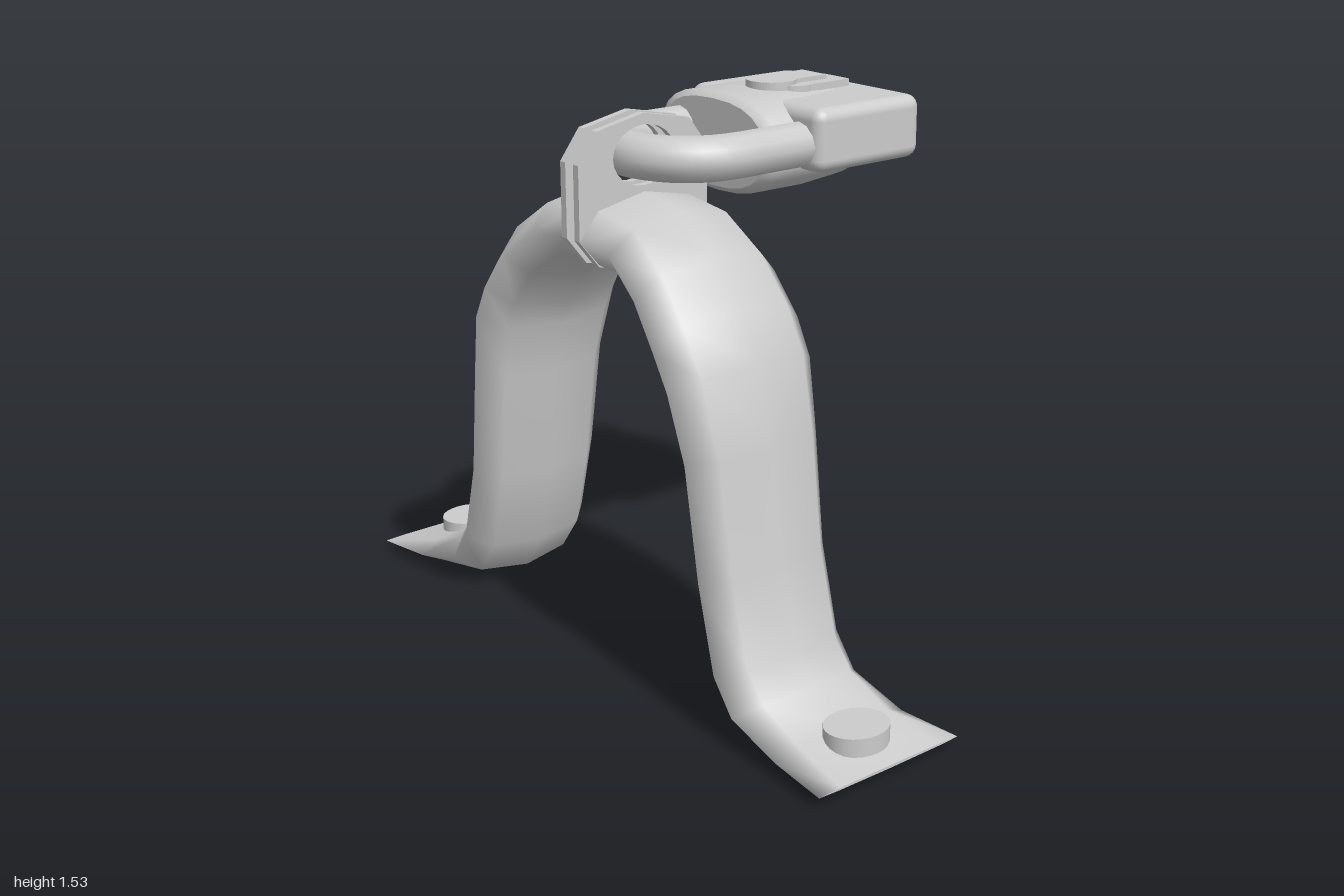
import * as THREE from 'three';
import { RoundedBoxGeometry } from 'three/addons/geometries/RoundedBoxGeometry.js';

const material = new THREE.MeshStandardMaterial({ color: 0xcccccc });
const { cos, sin, PI, abs, sign, pow } = Math;

function add(parent, name, geometry, x = 0, y = 0, z = 0) {
  const mesh = new THREE.Mesh(geometry, material);
  mesh.name = name;
  mesh.position.set(x, y, z);
  parent.add(mesh);
  return mesh;
}

// Smooth skin over equal-length rings, with flat end caps
function loft(rings) {
  const n = rings[0].length, pos = [], idx = [];
  for (const ring of rings) for (const p of ring) pos.push(...p);
  for (let i = 0; i < rings.length - 1; i++) {
    for (let j = 0; j < n; j++) {
      const k = (j + 1) % n;
      const a = i * n + j, d = i * n + k, b = a + n, c = d + n;
      idx.push(a, d, b, d, c, b);
    }
  }
  for (const start of [true, false]) {
    const base = pos.length / 3;
    for (const p of start ? rings[0] : rings[rings.length - 1]) pos.push(...p);
    for (let j = 1; j < n - 1; j++) {
      if (start) idx.push(base, base + j + 1, base + j);
      else idx.push(base, base + j, base + j + 1);
    }
  }
  const g = new THREE.BufferGeometry();
  g.setAttribute('position', new THREE.Float32BufferAttribute(pos, 3));
  g.setIndex(idx);
  g.computeVertexNormals();
  return g;
}

// Curved leg with an oval section: outer x, y, inner x, y, half width
function strapGeometry() {
  const stations = [
    [0.03, 1.305, 0.03, 1.10, 0.21],
    [0.20, 1.28, 0.13, 1.10, 0.213],
    [0.33, 1.19, 0.25, 1.02, 0.23],
    [0.43, 1.07, 0.32, 0.92, 0.238],
    [0.50, 0.95, 0.355, 0.85, 0.235],
    [0.556, 0.74, 0.39, 0.70, 0.218],
    [0.60, 0.44, 0.43, 0.39, 0.21],
    [0.66, 0.215, 0.49, 0.15, 0.21],
    [0.72, 0.145, 0.57, 0.04, 0.21],
    [0.84, 0.085, 0.80, 0.004, 0.215],
    [1.00, 0.042, 1.00, 0.034, 0.235],
  ];
  return loft(stations.map(([ox, oy, ix, iy, w]) => {
    const ring = [];
    for (let j = 0; j < 8; j++) {
      const c = cos(j * PI / 4) / 2;
      ring.push([(ox + ix) / 2 + (ox - ix) * c, (oy + iy) / 2 + (oy - iy) * c, w * sin(j * PI / 4)]);
    }
    return ring;
  }));
}

// Upright end plate with an eye for the shackle
function plateGeometry() {
  const outline = [[-0.21, 1.2], [-0.15, 1.125], [0, 1.09], [0.15, 1.125], [0.21, 1.2],
    [0.21, 1.4], [0.15, 1.48], [0, 1.51], [-0.15, 1.48], [-0.21, 1.4]];
  const shape = new THREE.Shape(outline.map(([x, y]) => new THREE.Vector2(x, y)));
  shape.holes.push(new THREE.Path().absellipse(0, 1.4, 0.1, 0.08, 0, PI * 2, true));
  const g = new THREE.ExtrudeGeometry(shape, { depth: 0.022, bevelEnabled: false, curveSegments: 12 });
  return g.rotateY(PI / 2);
}

// Bulging lock casing: z, centre x, centre y, half width, half height
function casingGeometry() {
  const sections = [
    [0, -0.05, 1.38, 0.215, 0.12],
    [-0.02, -0.05, 1.38, 0.245, 0.136],
    [-0.2, -0.05, 1.38, 0.243, 0.137],
    [-0.33, -0.045, 1.382, 0.22, 0.13],
    [-0.44, -0.04, 1.388, 0.185, 0.105],
    [-0.51, -0.035, 1.388, 0.125, 0.07],
    [-0.54, -0.03, 1.388, 0.06, 0.03],
  ];
  const soften = v => sign(v) * pow(abs(v), 0.8);
  return loft(sections.map(([z, cx, cy, hx, hy]) => {
    const ring = [];
    for (let j = 0; j < 24; j++) {
      const a = j * PI / 12;
      ring.push([cx + hx * soften(sin(a)), cy + hy * soften(cos(a)), z]);
    }
    return ring;
  }));
}

// Round disc with a straight tail towards the back
function keyholeGeometry(radius, halfWidth, tail, depth) {
  const a = Math.asin(halfWidth / radius);
  const shape = new THREE.Shape();
  shape.moveTo(halfWidth, tail);
  shape.lineTo(-halfWidth, tail);
  shape.absarc(0, 0, radius, PI / 2 + a, PI * 2.5 - a, false);
  shape.closePath();
  const g = new THREE.ExtrudeGeometry(shape, { depth, bevelEnabled: false, curveSegments: 20 });
  return g.rotateX(-PI / 2);
}

export function createModel() {
  const model = new THREE.Group();
  model.name = 'padlockedHasp';

  // Two matching halves of the hasp, turned about its middle
  for (const [name, turn] of [['leftHalf', 0], ['rightHalf', PI]]) {
    const half = new THREE.Group();
    half.name = name;
    half.position.z = 0.3;
    half.rotation.y = turn;
    add(half, 'strap', strapGeometry());
    add(half, 'eyePlate', plateGeometry(), 0.017);
    const rivet = add(half, 'rivet', new THREE.CylinderGeometry(0.077, 0.077, 0.05, 24), 0.878, 0.08, 0);
    rivet.scale.z = 1.17;
    model.add(half);
  }

  // Padlock lying flat behind the hasp
  const lock = new THREE.Group();
  lock.name = 'padlock';
  add(lock, 'casing', casingGeometry());
  add(lock, 'sideBlock', new RoundedBoxGeometry(0.55, 0.175, 0.38, 3, 0.035), -0.005, 1.4125, -0.29);
  add(lock, 'keyholeCover', keyholeGeometry(0.07, 0.05, 0.16, 0.03), -0.027, 1.505, -0.19);
  add(lock, 'keyhole', keyholeGeometry(0.055, 0.05, 0.165, 0.02), 0.012, 1.503, -0.235);

  // U-shaped shackle passing through both eyes
  const path = [new THREE.Vector3(0.19, 1.398, -0.16), new THREE.Vector3(0.19, 1.398, 0)];
  for (let i = 0; i <= 10; i++) {
    const a = i * PI / 10;
    path.push(new THREE.Vector3(0.19 * cos(a), 1.398, 0.125 + 0.19 * sin(a)));
  }
  path.push(new THREE.Vector3(-0.19, 1.398, 0), new THREE.Vector3(-0.19, 1.398, -0.16));
  add(lock, 'shackle', new THREE.TubeGeometry(new THREE.CatmullRomCurve3(path), 40, 0.062, 12));
  model.add(lock);

  return model;
}
